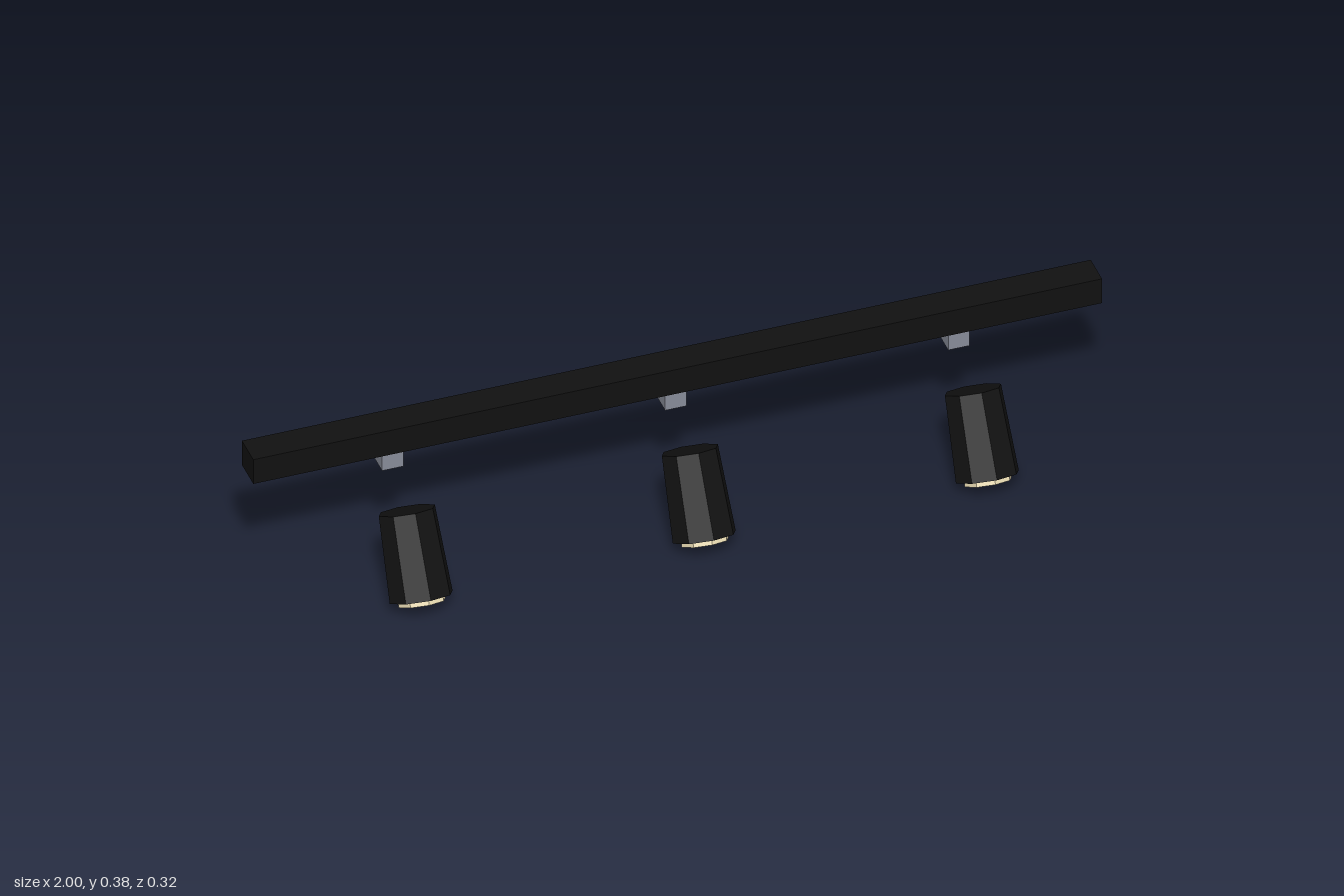
import * as THREE from 'three';

const SIDES = 8;

function material(name, color) {
  const m = new THREE.MeshStandardMaterial({ color });
  m.name = name;
  return m;
}

// Low-poly faceted geometry: every face keeps its own flat normal
function faceted(geometry) {
  const g = geometry.toNonIndexed();
  g.computeVertexNormals();
  return g;
}

function part(name, geometry, mat, x, y, z) {
  const mesh = new THREE.Mesh(geometry, mat);
  mesh.name = name;
  mesh.position.set(x, y, z);
  return mesh;
}

export function createModel() {
  const black = material('matte black', 0x111111);
  const steel = material('steel grey', 0x888c99);
  const cream = material('warm lens', 0xfff0c4);

  const model = new THREE.Group();
  model.name = 'trackLight';

  // Long ceiling rail
  model.add(part('rail', new THREE.BoxGeometry(2, 0.067, 0.075), black, 0, 0.348, -0.12));

  const connectorGeo = new THREE.BoxGeometry(0.05, 0.05, 0.05);
  const canGeo = faceted(new THREE.CylinderGeometry(0.066, 0.074, 0.198, SIDES));
  const lensGeo = faceted(new THREE.CylinderGeometry(0.055, 0.055, 0.02, SIDES));

  // Three spots, each hanging under its connector and tilted forwards
  for (const x of [-0.667, 0, 0.667]) {
    model.add(part('connector', connectorGeo, steel, x, 0.29, -0.12));

    const spot = new THREE.Group();
    spot.name = 'spotHead';
    spot.position.set(x, 0.1275, 0.0455);
    spot.rotation.x = -0.5;
    spot.add(part('can', canGeo, black, 0, 0, 0));
    spot.add(part('lens', lensGeo, cream, 0, -0.1015, 0));
    model.add(spot);
  }
  return model;
}
